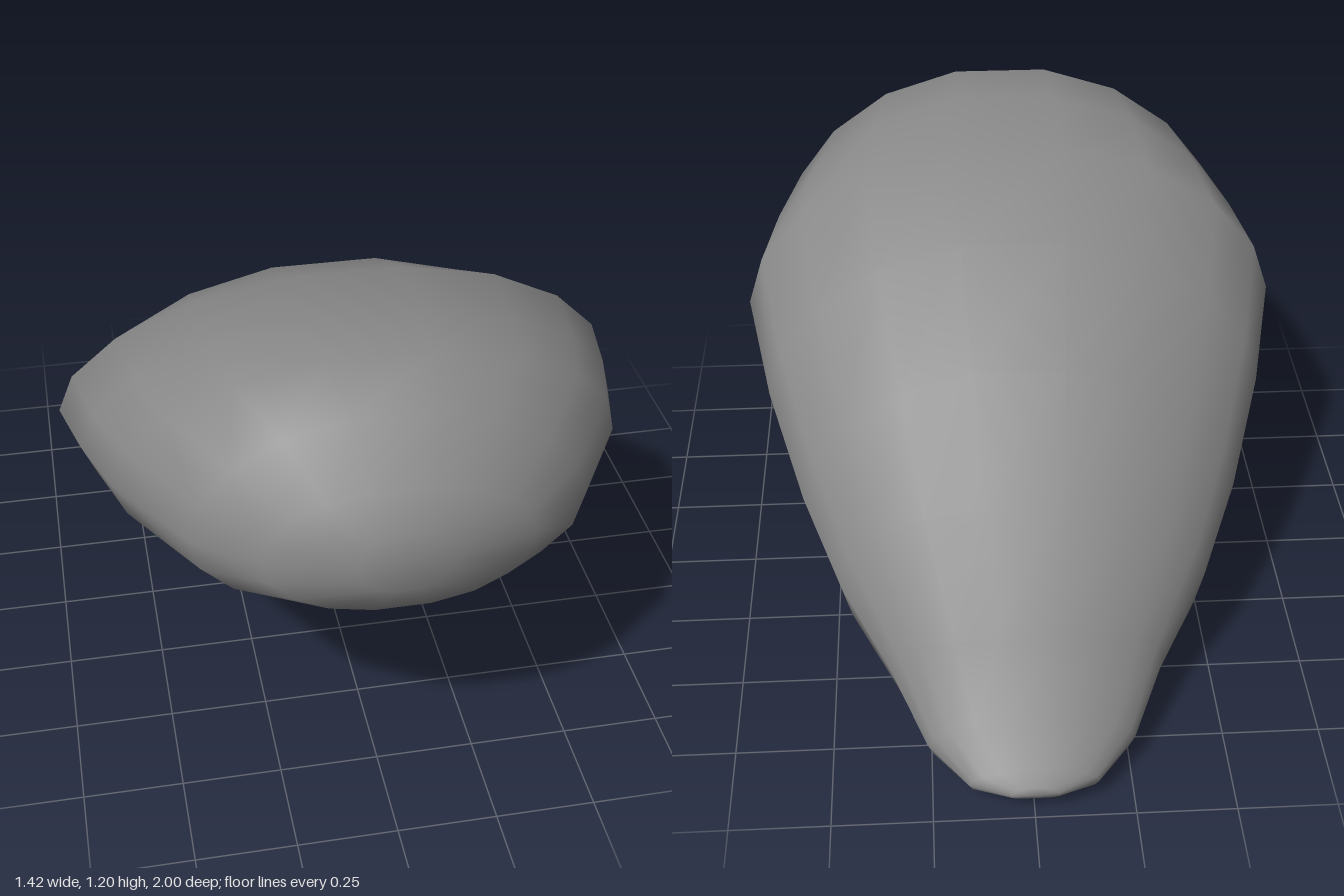
import * as THREE from 'three';

const SIDES = 18;

// Cross-sections from the blunt front to the narrow tail:
// [top z, top y, bottom z, bottom y, side z, side y, half width]
const SECTIONS = [
  [0.99, 0.93, 0.995, 0.77, 0.998, 0.85, 0.11],
  [0.945, 1.01, 0.97, 0.7, 0.935, 0.84, 0.31],
  [0.83, 1.135, 0.84, 0.625, 0.82, 0.84, 0.46],
  [0.71, 1.205, 0.62, 0.61, 0.57, 0.83, 0.61],
  [0.54, 1.205, 0.4, 0.6, 0.36, 0.8, 0.67],
  [0.28, 1.175, 0.16, 0.567, 0.17, 0.78, 0.71],
  [0.0, 1.045, -0.12, 0.427, -0.06, 0.63, 0.655],
  [-0.29, 0.845, -0.35, 0.247, -0.31, 0.47, 0.565],
  [-0.54, 0.605, -0.57, 0.082, -0.5, 0.33, 0.47],
  [-0.74, 0.353, -0.73, 0.01, -0.66, 0.19, 0.35],
  [-0.88, 0.2, -0.85, 0.0, -0.84, 0.1, 0.26],
  [-0.965, 0.13, -0.945, 0.03, -0.96, 0.08, 0.16],
  [-0.995, 0.1, -0.99, 0.06, -1, 0.08, 0.06],
];
const FRONT_POLE = [0, 0.85, 1];
const TAIL_POLE = [0, 0.08, -1];

// Smooth blend through top (c = 1), side (c = 0) and bottom (c = -1)
const blend = (top, side, bottom, c) =>
  side + (c * (top - bottom)) / 2 + c * c * ((top + bottom) / 2 - side);

function shellGeometry() {
  const positions = [];
  const index = [];
  for (const [tz, ty, bz, by, sz, sy, w] of SECTIONS) {
    for (let j = 0; j < SIDES; j++) {
      // Half a step of turn leaves a flat facet along the crest
      const a = ((j + 0.5) / SIDES) * Math.PI * 2;
      const c = Math.cos(a);
      const s = Math.sin(a);
      const x = w * Math.sign(s) * Math.abs(s) ** 0.9;
      positions.push(x, blend(ty, sy, by, c), blend(tz, sz, bz, c));
    }
  }
  positions.push(...FRONT_POLE, ...TAIL_POLE);

  const last = (SECTIONS.length - 1) * SIDES;
  const front = SECTIONS.length * SIDES;
  for (let j = 0; j < SIDES; j++) {
    const k = (j + 1) % SIDES;
    // Skin between neighbouring sections
    for (let r = 0; r < last; r += SIDES) {
      const a = r + j, b = r + k, c = a + SIDES, d = b + SIDES;
      index.push(a, b, d, a, d, c);
    }
    // Closed ends
    index.push(front, k, j);
    index.push(front + 1, last + j, last + k);
  }

  const geometry = new THREE.BufferGeometry();
  geometry.setAttribute('position', new THREE.Float32BufferAttribute(positions, 3));
  geometry.setIndex(index);
  geometry.computeVertexNormals();
  return geometry;
}

export function createModel() {
  const group = new THREE.Group();
  group.name = 'curvedShell';
  const material = new THREE.MeshStandardMaterial({ color: 0x888888 });
  const body = new THREE.Mesh(shellGeometry(), material);
  body.name = 'body';
  group.add(body);
  return group;
}
